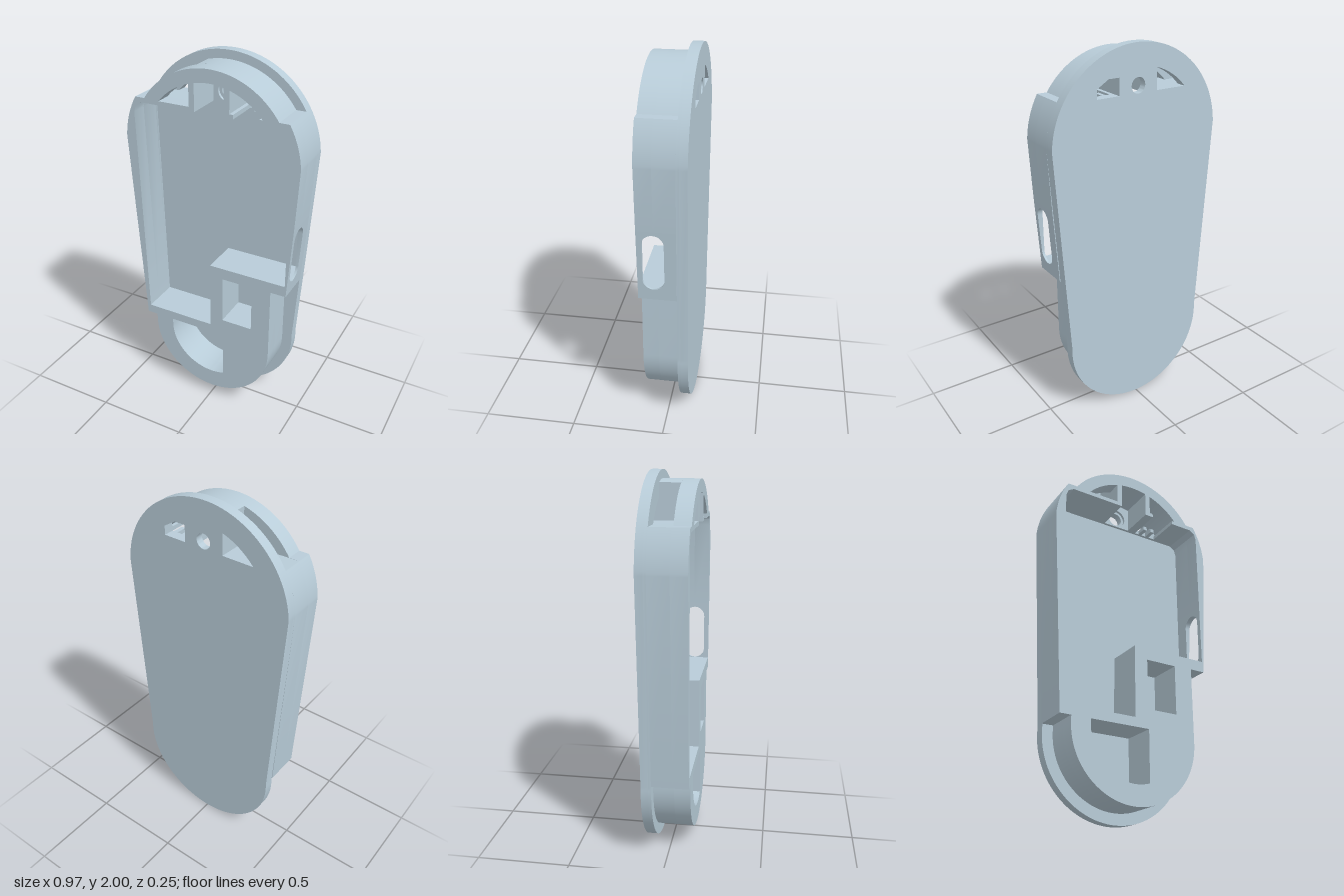
import * as THREE from 'three';
import { toCreasedNormals } from 'three/addons/utils/BufferGeometryUtils.js';

const material = new THREE.MeshStandardMaterial({ color: 0xb8ccd8 });
const PI = Math.PI;

// Depth levels, back to front
const BACK = -0.125, POCKET = -0.085, PLATE = -0.07, NOTCH = 0.04, FRONT = 0.125;
// The outline is the hull of a large top circle and a smaller bottom circle
const TOP_Y = 1.515, TOP_R = 0.485, LOW_Y = 0.415, LOW_R = 0.415;
const TILT = Math.asin((TOP_R - LOW_R) / (TOP_Y - LOW_Y));
const RIM_R = 0.44, WINDOW_R = 0.372, LOW_RIM_R = 0.357;
const STEP_Y = 1.76, SILL_Y = 1.757, POCKET_TOP = 1.735;
const WALL_X = 0.435, PANEL_LOW = 0.87, PANEL_HIGH = 1.22;

const arc = (y, r, a0, a1, n = 32) => Array.from({ length: n + 1 }, (_, i) => {
  const a = a0 + (a1 - a0) * i / n;
  return [r * Math.cos(a), y + r * Math.sin(a)];
});
const circle = (y, r) => arc(y, r, 0, 2 * PI, 32).slice(0, -1);
// Half width of the outline along its straight sides
const halfWidth = y => (TOP_R - (y - TOP_Y) * -Math.sin(TILT)) / Math.cos(TILT);
const angleAtY = (y, r) => Math.asin((y - TOP_Y) / r);
const mirror = points => points.map(([x, y]) => [-x, y]).reverse();
const vectors = points => points.map(([x, y]) => new THREE.Vector2(x, y));

function makeShape(points, holes = []) {
  const shape = new THREE.Shape(vectors(points));
  shape.holes = holes.map(h => new THREE.Path(vectors(h)));
  return shape;
}

function addSlab(group, name, points, holes, z0, z1) {
  const geometry = new THREE.ExtrudeGeometry(makeShape(points, holes), { depth: z1 - z0, bevelEnabled: false });
  geometry.translate(0, 0, z0);
  const mesh = new THREE.Mesh(toCreasedNormals(geometry, 0.5), material);
  mesh.name = name;
  group.add(mesh);
}

const outline = [
  ...arc(TOP_Y, TOP_R, TILT, PI - TILT, 64),
  ...arc(LOW_Y, LOW_R, PI - TILT, 2 * PI + TILT, 64),
];

// Curved window beside the key ring post, right-hand version
const windowPoints = [
  [0.11, SILL_Y],
  ...arc(TOP_Y, WINDOW_R, angleAtY(SILL_Y, WINDOW_R), Math.acos(0.11 / WINDOW_R), 14),
];
const leftWindow = mirror(windowPoints);
const smallWindow = [[0.11, 1.757], [0.235, 1.757], [0.235, 1.805], [0.17, 1.845], [0.11, 1.845]];

const pocket = [
  [WALL_X, 0.89], [0, 0.89], [0, 0.5], [-0.4, 0.5], [-0.43, 1.68],
  [-0.418, 1.715], [-0.385, POCKET_TOP], [0.395, POCKET_TOP], [0.425, 1.715], [WALL_X, 1.68],
];

// Body outline, which enters the main pocket through the gap left for the slotted panel
function bodyOutline(notched) {
  const outer = angleAtY(STEP_Y, TOP_R), inner = angleAtY(STEP_Y, RIM_R);
  const rimEnd = notched ? PI - Math.acos(0.11 / RIM_R) : PI - inner;
  return [
    [halfWidth(PANEL_HIGH), PANEL_HIGH],
    ...arc(TOP_Y, TOP_R, TILT, outer, 16),
    ...arc(TOP_Y, RIM_R, inner, rimEnd, 48),
    ...(notched ? [[-0.11, SILL_Y], [-0.28, SILL_Y]] : []),
    ...arc(TOP_Y, TOP_R, PI - outer, PI - TILT, 16),
    [-halfWidth(0.45), 0.45], [-LOW_RIM_R, 0.45],
    ...arc(LOW_Y, LOW_RIM_R, PI, 2 * PI, 48),
    [LOW_RIM_R, 0.83], [halfWidth(0.83), 0.83],
    [halfWidth(PANEL_LOW), PANEL_LOW], [WALL_X, PANEL_LOW],
    ...pocket.slice(0, 7),
    // Recess around the key ring hole
    [-0.08, POCKET_TOP],
    ...arc(TOP_Y, WINDOW_R, PI - Math.acos(0.08 / WINDOW_R), Math.acos(0.08 / WINDOW_R), 10),
    [0.08, POCKET_TOP],
    // Right window, open to the pocket
    [0.13, POCKET_TOP], [0.13, SILL_Y], [0.11, SILL_Y],
    ...windowPoints.slice(1).reverse(),
    [0.265, SILL_Y], [0.265, POCKET_TOP],
    ...pocket.slice(7),
    [WALL_X, PANEL_HIGH],
  ];
}

// Side wall panel with its slot, fitted between the pocket and the tapered outside
function addSlottedPanel(group) {
  const r = 0.055, cx = -0.045;
  const slot = [...arc(1.145, r, 0, PI, 16), ...arc(0.945, r, PI, 2 * PI, 16)].map(([x, y]) => [x + cx, y]);
  const face = [[-FRONT, PANEL_LOW], [-PLATE, PANEL_LOW], [-PLATE, PANEL_HIGH], [-FRONT, PANEL_HIGH]];
  const geometry = new THREE.ExtrudeGeometry(makeShape(face, [slot]), { depth: 1, bevelEnabled: false });
  const p = geometry.attributes.position;
  for (let i = 0; i < p.count; i++) {
    const y = p.getY(i);
    p.setXYZ(i, THREE.MathUtils.lerp(WALL_X, halfWidth(y), p.getZ(i)), y, -p.getX(i));
  }
  const mesh = new THREE.Mesh(toCreasedNormals(geometry, 0.5), material);
  mesh.name = 'slottedSidePanel';
  group.add(mesh);
}

export function createModel() {
  const group = new THREE.Group();
  group.name = 'keyFobCase';

  // Back plate, with the pocket sunk a little into it
  addSlab(group, 'backPlate', outline, [leftWindow, smallWindow, circle(1.795, 0.04)], BACK, POCKET);
  addSlab(group, 'backPlateRim', outline, [leftWindow, smallWindow, circle(1.795, 0.055), pocket], POCKET, PLATE);

  // Body in two layers: the rear one has the cable notch in the upper rim
  const switchPocket = [[0.075, 0.555], [0.25, 0.555], [0.25, 0.825], [0.075, 0.825]];
  const lowerPocket = [
    [-0.25, 0.45],
    ...arc(LOW_Y, 0.25, PI, 2 * PI - Math.acos(0.08 / 0.25), 32),
    [0.08, 0.45],
  ];
  const wells = [switchPocket, lowerPocket];
  addSlab(group, 'rearBody', bodyOutline(true), wells, PLATE, NOTCH);
  addSlab(group, 'frontBody', bodyOutline(false), [...wells, leftWindow], NOTCH, FRONT);
  addSlottedPanel(group);

  // Small prongs in the window sill
  for (const x of [0.165, 0.215]) {
    const prong = new THREE.Mesh(new THREE.BoxGeometry(0.022, 0.022, 0.06), material);
    prong.name = 'prong';
    prong.position.set(x, 1.746, PLATE + 0.03);
    group.add(prong);
  }
  return group;
}
